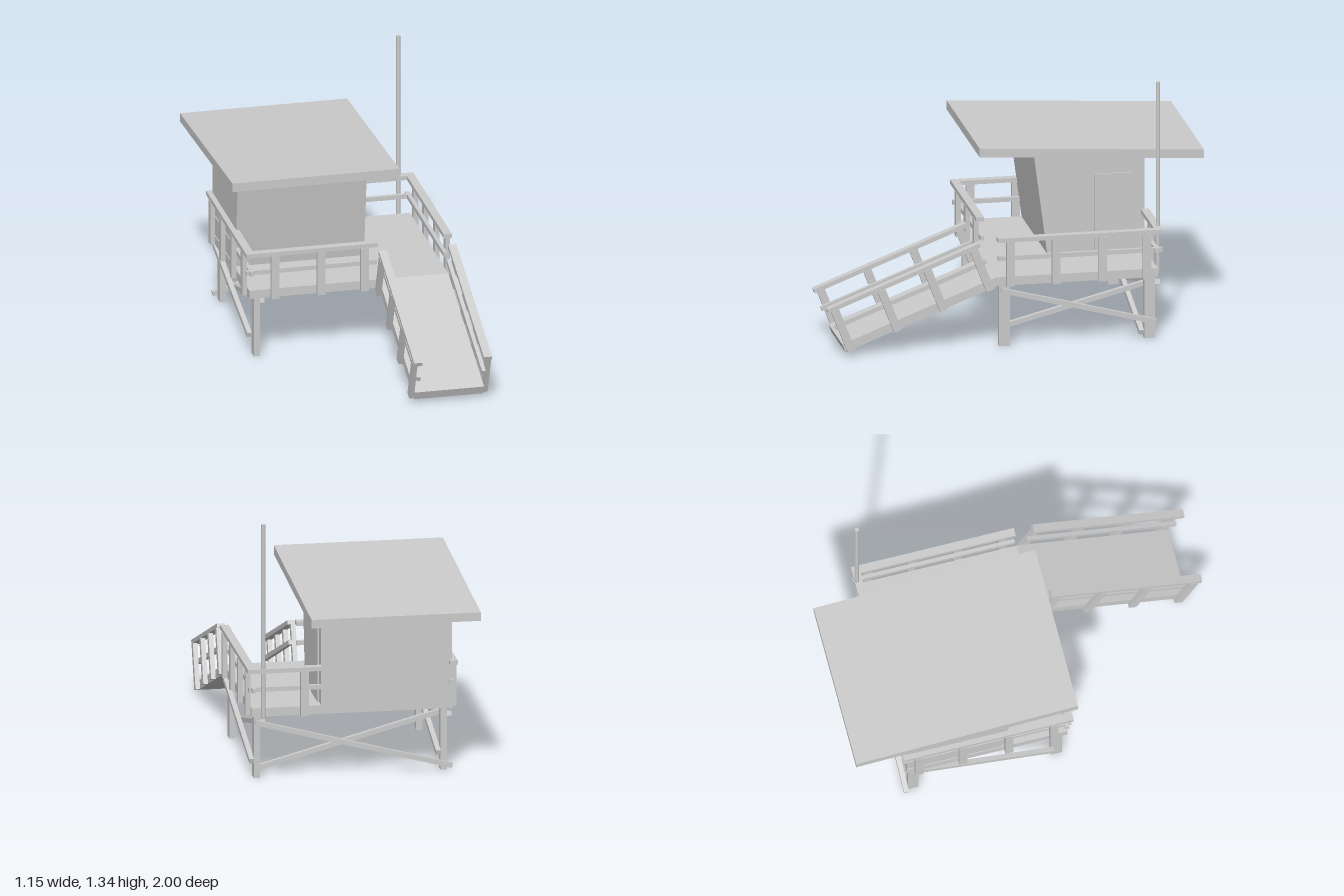
import * as THREE from 'three';

const material = new THREE.MeshStandardMaterial({ color: 0xcccccc, flatShading: true });

function add(parent, name, geometry) {
  const mesh = new THREE.Mesh(geometry, material);
  mesh.name = name;
  parent.add(mesh);
  return mesh;
}

// Box given by its limits on each axis
function box(parent, name, [x0, x1], [y0, y1], [z0, z1]) {
  const mesh = add(parent, name, new THREE.BoxGeometry(x1 - x0, y1 - y0, z1 - z0));
  mesh.position.set((x0 + x1) / 2, (y0 + y1) / 2, (z0 + z1) / 2);
  return mesh;
}

// Prism along x from a [z, y] outline
function prism(parent, name, outline, x0, x1) {
  const shape = new THREE.Shape(outline.map(([z, y]) => new THREE.Vector2(-z, y)));
  const geometry = new THREE.ExtrudeGeometry(shape, { depth: x1 - x0, bevelEnabled: false });
  geometry.rotateY(Math.PI / 2);
  geometry.translate(x0, 0, 0);
  return add(parent, name, geometry);
}

// Straight plank between two points
function brace(parent, name, from, to) {
  const a = new THREE.Vector3(...from), b = new THREE.Vector3(...to);
  const mesh = add(parent, name, new THREE.BoxGeometry(0.025, 0.025, a.distanceTo(b)));
  mesh.position.copy(a).add(b).multiplyScalar(0.5);
  mesh.lookAt(b);
}

// Railing along local z, floor at y = 0, outside towards +x
function railing(parent, name, [z0, z1], posts) {
  const rail = new THREE.Group();
  rail.name = name;
  parent.add(rail);
  for (const z of posts) box(rail, 'railPost', [0, 0.024], [-0.046, 0.19], [z - 0.021, z + 0.021]);
  box(rail, 'handrail', [-0.02, 0.022], [0.188, 0.21], [z0, z1]);
  box(rail, 'middleRail', [-0.02, 0], [0.086, 0.109], [z0, z1 - 0.005]);
  return rail;
}

export function createModel() {
  const tower = new THREE.Group();
  tower.name = 'lifeguardTower';

  // Deck, hut with leaning front, and sloping roof
  box(tower, 'deck', [-0.485, 0.55], [0.325, 0.37], [-0.71, 0.13]);
  prism(tower, 'hut', [[-0.208, 0.37], [-0.71, 0.37], [-0.71, 0.88], [-0.137, 0.912]], -0.48, 0.192);
  prism(tower, 'roof', [[0.16, 0.93], [0.16, 0.977], [-1, 0.905], [-1, 0.86]], -0.58, 0.29);
  box(tower, 'door', [0.19, 0.201], [0.37, 0.78], [-0.645, -0.45]);

  // Flag pole at the back of the deck
  const pole = add(tower, 'flagPole', new THREE.CylinderGeometry(0.011, 0.011, 1.015, 10));
  pole.position.set(0.492, 0.8325, -0.722);

  // Legs
  for (const x of [-0.44, 0.52]) {
    for (const z of [0.08, -0.67]) {
      box(tower, 'leg', [x - 0.016, x + 0.016], [0, 0.326], [z - 0.028, z + 0.028]);
    }
  }

  // Crossed braces on both sides and the back
  for (const [x, out] of [[-0.44, -0.028], [0.52, 0.028]]) {
    const falling = x + out * Math.sign(out);
    const rising = x - out * Math.sign(out);
    brace(tower, 'sideBrace', [falling, 0.3, 0.1], [falling, 0.09, -0.7]);
    brace(tower, 'sideBrace', [rising, 0.1, 0.06], [rising, 0.295, -0.7]);
  }
  brace(tower, 'backBrace', [0.53, 0.295, -0.711], [-0.48, 0.025, -0.711]);
  brace(tower, 'backBrace', [-0.45, 0.295, -0.629], [0.53, 0.03, -0.629]);

  // Deck railings
  const sidePosts = [0.055, -0.18, -0.42, -0.65];
  railing(tower, 'leftRailing', [-0.733, 0.12], sidePosts).position.set(0.55, 0.37, 0);
  const right = railing(tower, 'rightRailing', [-0.15, 0.733], sidePosts.map((z) => -z));
  right.position.set(-0.485, 0.37, 0);
  right.rotation.y = Math.PI;
  const front = railing(tower, 'frontRailing', [-0.18, 0.507], [-0.11, 0.115, 0.355]);
  front.position.set(0, 0.37, 0.135);
  front.rotation.y = -Math.PI / 2;
  const back = railing(tower, 'backRailing', [0.19, 0.57], [0.28]);
  back.position.set(0, 0.37, -0.712);
  back.rotation.y = Math.PI / 2;

  // Ramp with a railing on each side
  const ramp = new THREE.Group();
  ramp.name = 'ramp';
  ramp.position.set(0.371, 0.37, 0.13);
  ramp.rotation.x = 0.37;
  tower.add(ramp);
  box(ramp, 'rampFloor', [-0.18, 0.18], [-0.046, 0], [0, 0.85]);
  const rampPosts = [0.05, 0.307, 0.563, 0.82];
  railing(ramp, 'rampLeftRailing', [0.012, 0.856], rampPosts).position.x = 0.18;
  const rampRight = railing(ramp, 'rampRightRailing', [-0.856, -0.012], rampPosts.map((z) => -z));
  rampRight.position.x = -0.18;
  rampRight.rotation.y = Math.PI;

  return tower;
}
